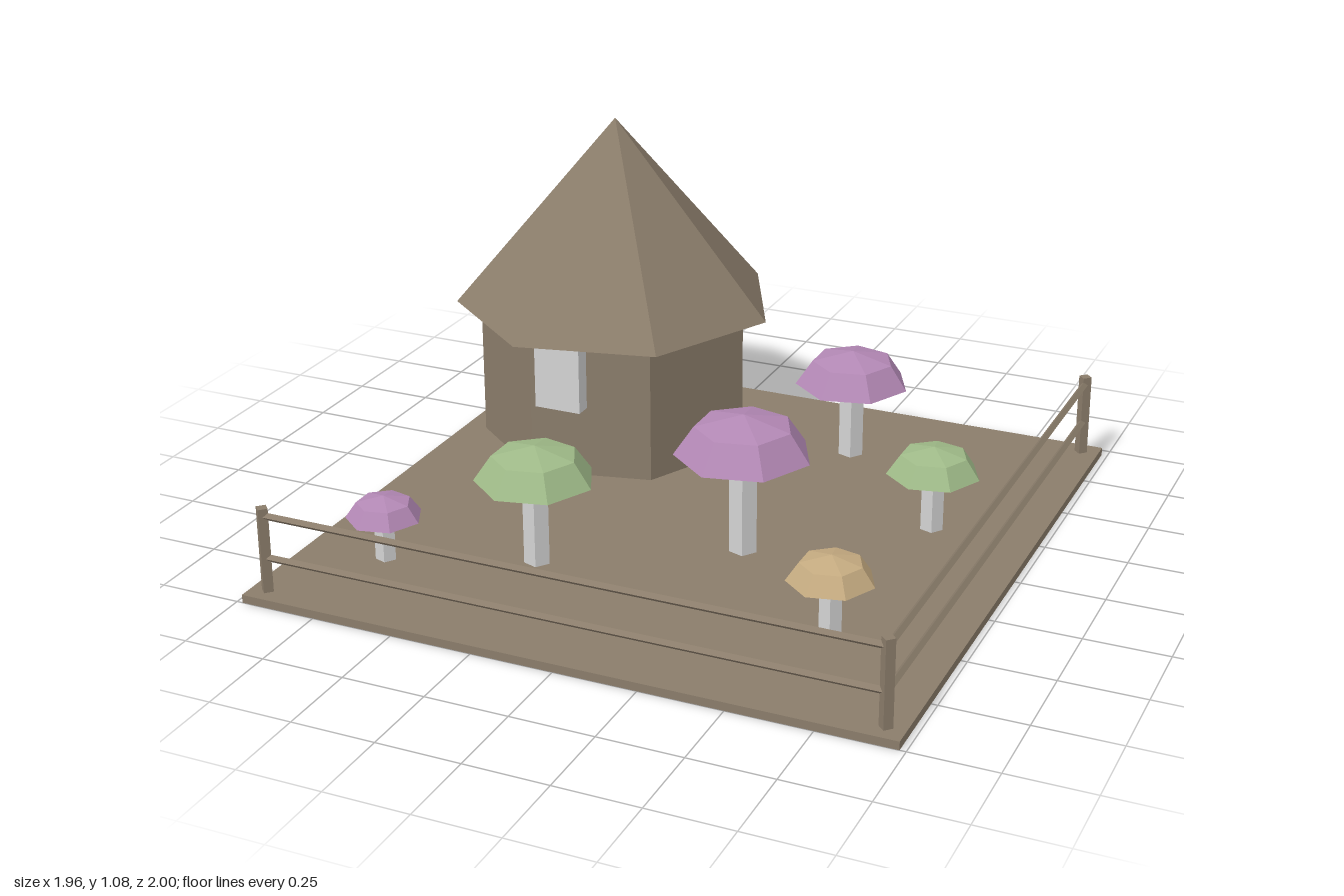
import * as THREE from 'three';

const paint = (name, color, side = THREE.FrontSide) =>
  new THREE.MeshStandardMaterial({ name, color, side, flatShading: true });

export function createModel() {
  const wood = paint('earthBrown', 0x8b7d6b);
  const pale = paint('paleGrey', 0xd3d3d3);
  const purple = paint('purple', 0xb388b5, THREE.DoubleSide);
  const green = paint('green', 0x9fba88, THREE.DoubleSide);
  const tan = paint('tan', 0xc4aa80, THREE.DoubleSide);

  const model = new THREE.Group();
  model.name = 'mushroomYard';

  const add = (name, geometry, material, x, y, z, parent = model) => {
    const mesh = new THREE.Mesh(geometry, material);
    mesh.name = name;
    mesh.position.set(x, y, z);
    parent.add(mesh);
    return mesh;
  };
  // Upright prism or cone with one corner pointing to +x
  const prism = (rTop, rBottom, height, sides) =>
    new THREE.CylinderGeometry(rTop, rBottom, height, sides, 1, false, Math.PI / 2);

  // Ground slab
  add('ground', new THREE.BoxGeometry(1.964, 0.025, 1.964), wood, 0, 0.0125, 0.018);

  // Seven-sided hut
  const hut = new THREE.Group();
  hut.name = 'hut';
  hut.position.set(-0.517, 0, -0.5);
  model.add(hut);
  add('wall', prism(0.437, 0.437, 0.455, 7), wood, 0, 0.2425, 0, hut);
  add('roof', prism(0, 0.515, 0.605, 7), wood, 0, 0.7725, 0, hut);
  add('window', new THREE.BoxGeometry(0.152, 0.215, 0.055), pale, 0, 0.3615, 0.4105, hut);

  // Mushrooms: x, z, cap radius, cap base height, colour
  const mushrooms = [
    [0.253, -0.605, 0.18, 0.268, purple],
    [0.205, 0.17, 0.205, 0.335, purple],
    [-0.727, 0.634, 0.113, 0.157, purple],
    [-0.313, 0.478, 0.178, 0.287, green],
    [0.665, -0.19, 0.142, 0.206, green],
    [0.616, 0.532, 0.127, 0.184, tan],
  ];
  for (const [x, z, r, y, colour] of mushrooms) {
    const mushroom = new THREE.Group();
    mushroom.name = 'mushroom';
    mushroom.position.set(x, 0, z);
    model.add(mushroom);
    const stemRadius = 0.018 + 0.12 * r;
    const stemHeight = y + 0.01;
    add('stem', prism(stemRadius, stemRadius, stemHeight, 5), pale, 0, 0.005 + stemHeight / 2, 0, mushroom);
    const cap = new THREE.SphereGeometry(r, 7, 2, Math.PI, Math.PI * 2, 0, Math.PI / 2).scale(1, 0.6, 1);
    add('cap', cap, colour, 0, y, 0, mushroom);
  }

  // Fence along the front and the +x side
  const [left, right, front, back] = [-0.93, 0.926, 0.947, -0.91];
  for (const [x, z] of [[left, front], [right, front], [right, back]]) {
    add('fencePost', prism(0.02, 0.02, 0.27, 4), wood, x, 0.15, z);
  }
  for (const y of [0.13, 0.26]) {
    const frontRail = add('frontRail', prism(0.0115, 0.0115, right - left, 4), wood, (left + right) / 2, y, front);
    frontRail.rotation.z = Math.PI / 2;
    const sideRail = add('sideRail', prism(0.0115, 0.0115, front - back, 4), wood, right, y, (front + back) / 2);
    sideRail.rotation.x = Math.PI / 2;
  }
  return model;
}
